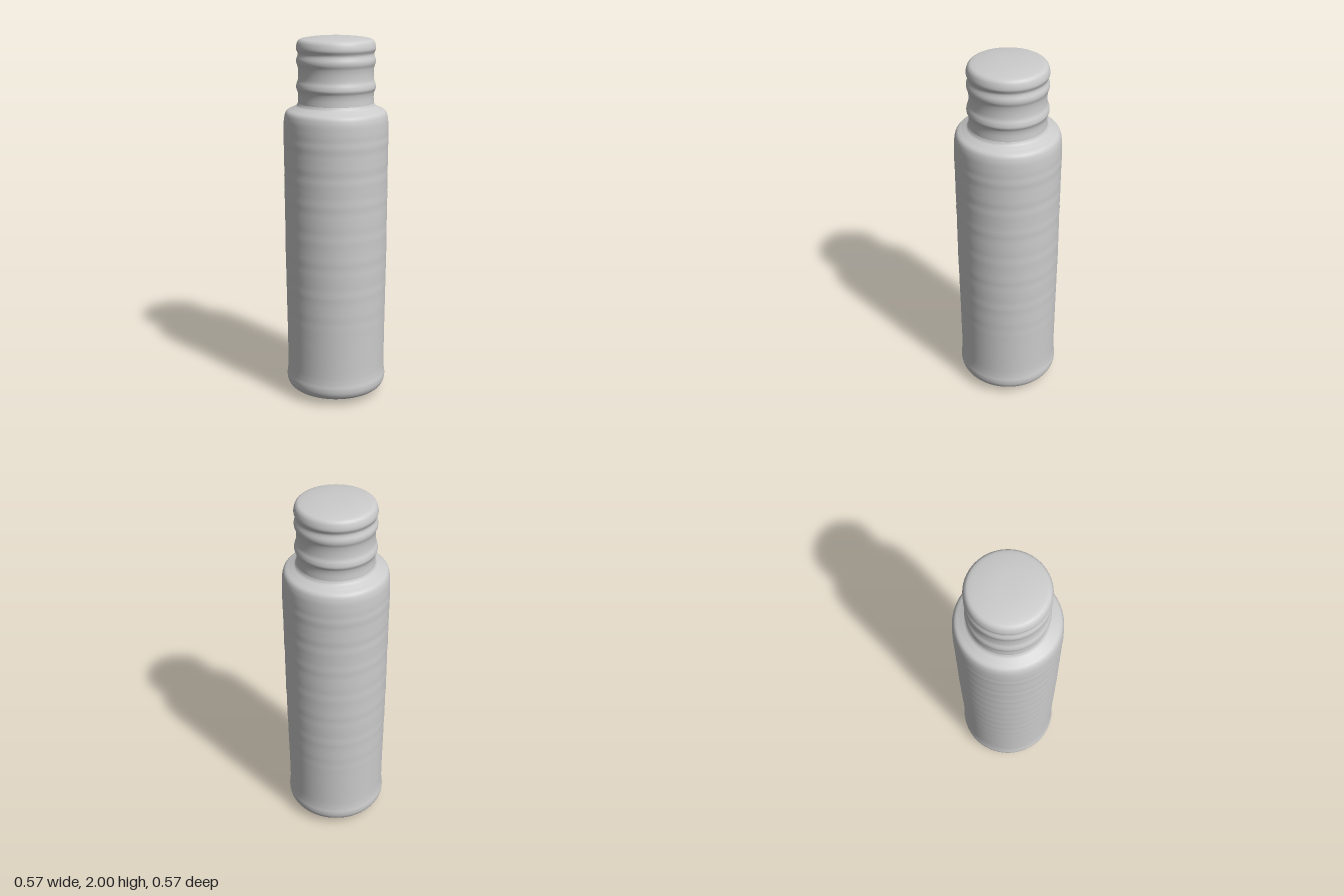
import * as THREE from 'three';

const material = new THREE.MeshStandardMaterial({ color: 0xcccccc, side: THREE.DoubleSide });

// Smooth lathe through a few [radius, height] points, bottom to top
function turned(name, points, samples, ripple = 0) {
  const curve = new THREE.SplineCurve(points.map(([r, y]) => new THREE.Vector2(r, y)));
  const profile = curve.getPoints(samples);
  for (const p of profile) {
    p.x = Math.max(0, p.x);
    // faint uneven rings along the straight wall
    const fade = THREE.MathUtils.smoothstep(p.y, 0.3, 0.6) * (1 - THREE.MathUtils.smoothstep(p.y, 1.45, 1.53));
    p.x += ripple * fade * (Math.sin(p.y * 62) + 0.6 * Math.sin(p.y * 101));
  }
  const mesh = new THREE.Mesh(new THREE.LatheGeometry(profile, 96), material);
  mesh.name = name;
  return mesh;
}

export function createModel() {
  const group = new THREE.Group();
  group.name = 'bottle';

  // Body: shallow domed base, bulged foot, long wall, rounded shoulder
  group.add(turned('body', [
    [0, 0], [0.08, 0.006], [0.16, 0.017], [0.225, 0.029], [0.258, 0.045], [0.274, 0.07],
    [0.278, 0.1], [0.274, 0.135], [0.272, 0.19], [0.273, 0.35], [0.276, 0.6], [0.279, 0.85],
    [0.28, 1.1], [0.281, 1.3], [0.282, 1.46], [0.281, 1.53], [0.277, 1.575], [0.265, 1.605],
    [0.235, 1.622], [0.212, 1.635], [0.203, 1.65],
  ], 240, 0.0006));

  // Neck and cap: three soft ridges and a slightly domed top
  group.add(turned('neckAndCap', [
    [0.203, 1.65], [0.201, 1.685], [0.204, 1.71], [0.212, 1.73], [0.21, 1.75], [0.202, 1.775],
    [0.2, 1.81], [0.203, 1.84], [0.21, 1.862], [0.21, 1.88], [0.203, 1.902], [0.203, 1.915],
    [0.211, 1.935], [0.208, 1.958], [0.199, 1.976], [0.18, 1.986], [0.12, 1.995], [0.06, 1.999], [0, 2],
  ], 144));

  return group;
}
